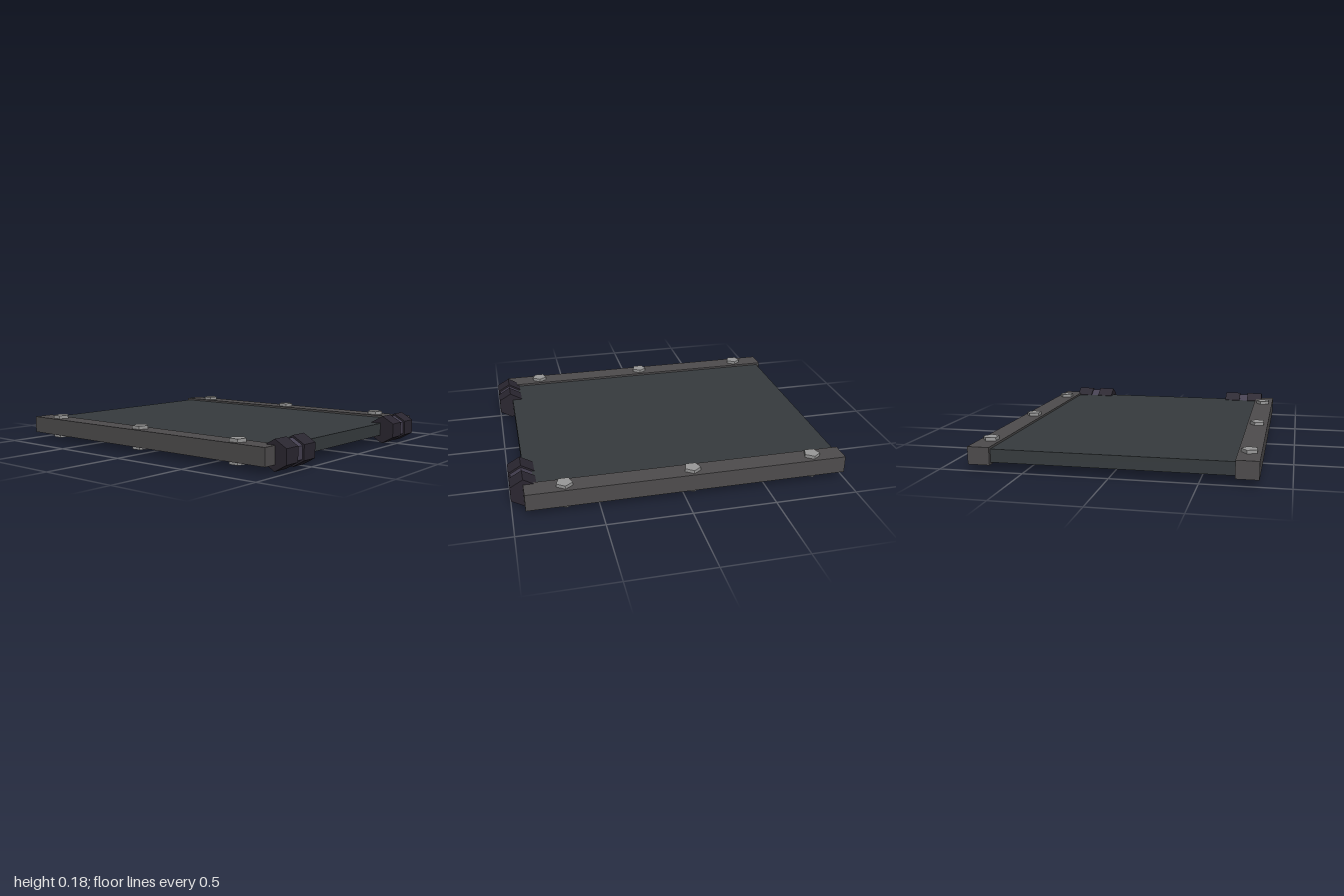
import * as THREE from 'three';

const paint = (color) => new THREE.MeshStandardMaterial({ color, flatShading: true });

export function createModel() {
  const model = new THREE.Group();
  const panelMat = paint(0x363b3e);
  const railMat = paint(0x4e4c4d);
  const boltMat = paint(0x999999);
  const knuckleMat = paint(0x2a2630);
  const pinMat = paint(0x443f50);

  const add = (name, geometry, material, x, y, z, parent = model) => {
    const mesh = new THREE.Mesh(geometry, material);
    mesh.name = name;
    mesh.position.set(x, y, z);
    parent.add(mesh);
    return mesh;
  };

  // Flat hatch panel
  add('panel', new THREE.BoxGeometry(1.89, 0.078, 1.4), panelMat, -0.035, 0.09, 0);

  // Side rails, each held by three five-sided bolts that pass right through
  const railGeo = new THREE.BoxGeometry(1.925, 0.104, 0.13);
  const boltGeo = new THREE.CylinderGeometry(0.05, 0.05, 0.144, 5, 1, false, Math.PI);
  for (const side of [1, -1]) {
    add('rail', railGeo, railMat, -0.0375, 0.09, side * 0.76);
    for (const x of [-0.805, -0.057, 0.695]) {
      add('bolt', boltGeo, boltMat, x, 0.09, side * 0.76);
    }
  }

  // Hinges on the left edge: two hexagonal knuckles around a slimmer core
  const hexBar = (radius, length) =>
    new THREE.CylinderGeometry(radius, radius, length, 6).rotateX(Math.PI / 2);
  const knuckleGeo = hexBar(0.088, 0.108);
  const coreGeo = hexBar(0.076, 0.2);
  for (const z of [0.602, -0.576]) {
    const hinge = new THREE.Group();
    hinge.name = 'hinge';
    hinge.position.set(0.923, 0.088, z);
    for (const side of [1, -1]) {
      add('hingeKnuckle', knuckleGeo, knuckleMat, 0, 0, side * 0.082, hinge);
    }
    add('hingeCore', coreGeo, pinMat, 0, 0, 0, hinge);
    model.add(hinge);
  }

  return model;
}
